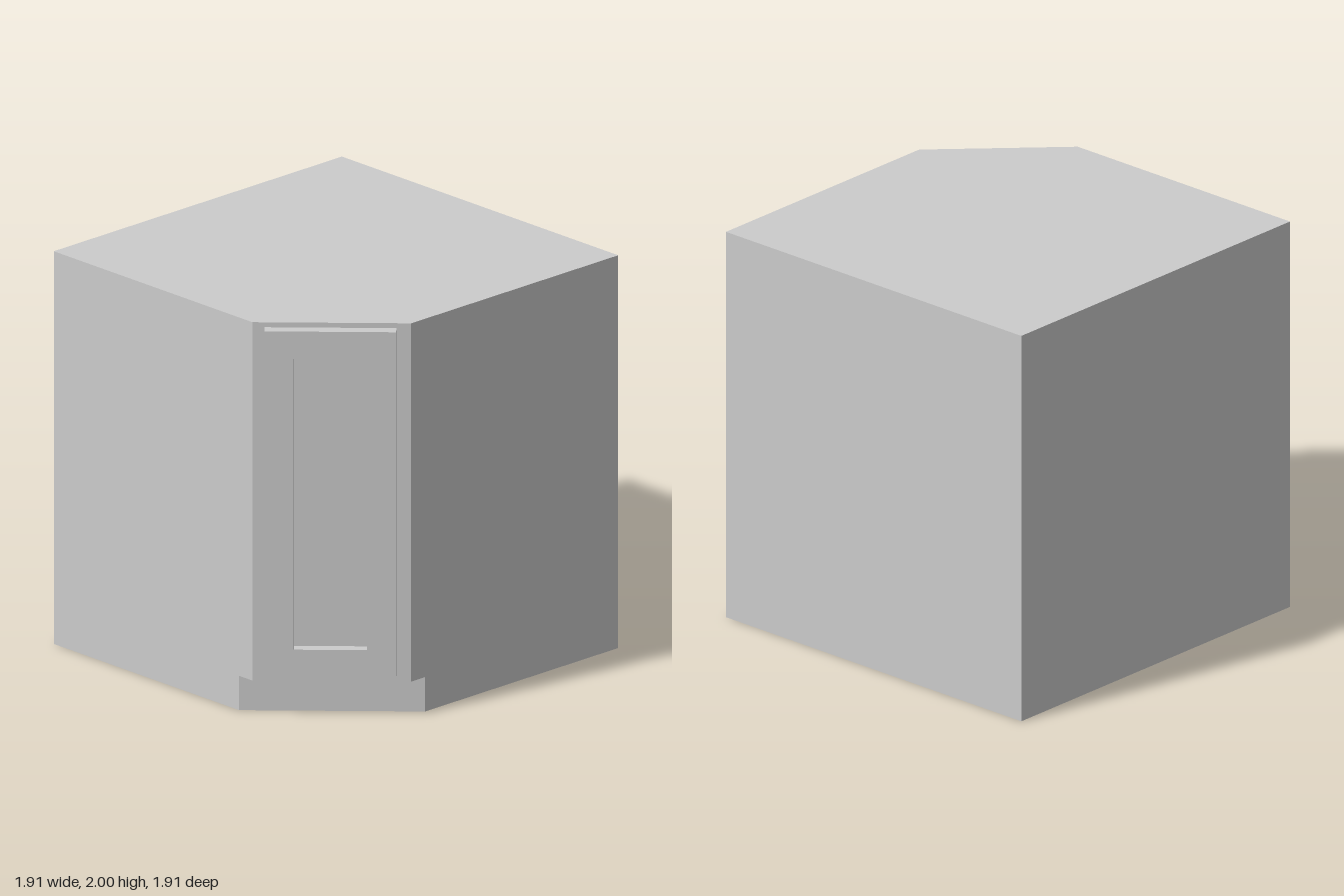
import * as THREE from 'three';

const HALF = 0.955; // half the cabinet width and depth
const KICK = 0.175; // height of the toe kick

const material = new THREE.MeshStandardMaterial({ color: 0xcccccc, flatShading: true });

function addMesh(parent, name, geometry) {
  const mesh = new THREE.Mesh(geometry, material);
  mesh.name = name;
  parent.add(mesh);
  return mesh;
}

// Square block whose front right corner is cut off at 45 degrees
function cutBlock(cut, y0, y1) {
  const outline = [[-HALF, HALF], [-HALF, -cut], [-cut, -HALF], [HALF, -HALF], [HALF, HALF]];
  const shape = new THREE.Shape(outline.map(([x, y]) => new THREE.Vector2(x, y)));
  return new THREE.ExtrudeGeometry(shape, { depth: y1 - y0, bevelEnabled: false })
    .rotateX(-Math.PI / 2)
    .translate(0, y0, 0);
}

function rectangle(Type, w, h) {
  return new Type([[-w, -h], [w, -h], [w, h], [-w, h]].map(([x, y]) => new THREE.Vector2(x / 2, y / 2)));
}

export function createModel() {
  const model = new THREE.Group();
  model.name = 'cornerCabinet';

  // Carcass above a set-back toe kick
  addMesh(model, 'carcass', cutBlock(0.418, KICK, 2));
  addMesh(model, 'toeKick', cutBlock(0.325, 0, KICK));

  // Door on the diagonal face: a frame around a recessed panel
  const width = 0.63, height = 1.76, rail = 0.14, thickness = 0.058;
  const door = new THREE.Group();
  door.name = 'door';
  door.position.set(-0.6905, 1.095, 0.6825);
  door.rotation.y = -Math.PI / 4;
  model.add(door);

  const frame = rectangle(THREE.Shape, width, height);
  frame.holes.push(rectangle(THREE.Path, width - 2 * rail, height - 2 * rail));
  addMesh(door, 'doorFrame', new THREE.ExtrudeGeometry(frame, { depth: thickness, bevelEnabled: false }));

  const panel = new THREE.BoxGeometry(width - 2 * rail, height - 2 * rail, 0.004);
  addMesh(door, 'doorPanel', panel).position.z = 0.002;

  return model;
}
